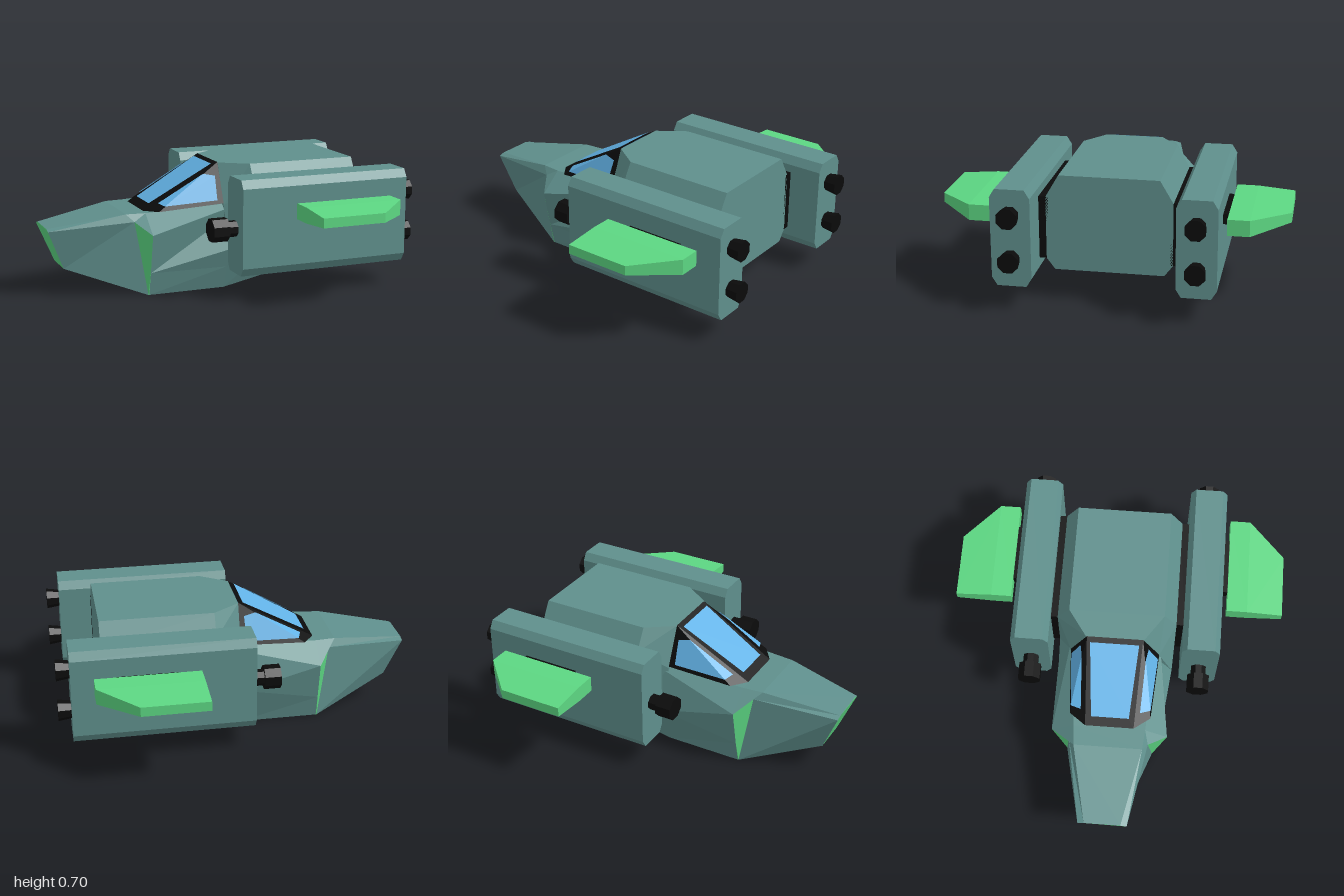
import * as THREE from 'three';
import { ConvexGeometry } from 'three/addons/geometries/ConvexGeometry.js';

const paint = (name, color, extra = {}) => new THREE.MeshStandardMaterial({ name, color, ...extra });

const flip = ([x, y, z]) => [x, y, -z];

// Flat-shaded geometry from convex polygons, each fanned from its first corner
function fromPolygons(polygons) {
  const pos = [];
  for (const p of polygons)
    for (let i = 1; i < p.length - 1; i++) pos.push(...p[0], ...p[i], ...p[i + 1]);
  const g = new THREE.BufferGeometry();
  g.setAttribute('position', new THREE.Float32BufferAttribute(pos, 3));
  g.computeVertexNormals();
  return g;
}

// Polygons of one side panel and its mirror image
const both = (p) => [p, p.map(flip).reverse()];
const ring = (row) => [...row, ...row.map(flip).reverse()];

// Skin between half sections (listed top to bottom on the +z side, running towards +x)
function skin(rows, isAccent = () => false) {
  const main = [], accent = [];
  for (let r = 0; r < rows.length - 1; r++) {
    const a = rows[r], b = rows[r + 1], n = a.length - 1;
    for (let i = 0; i < n; i++)
      (isAccent(r, i) ? accent : main).push(...both([a[i + 1], b[i + 1], b[i], a[i]]));
    main.push([a[0], b[0], flip(b[0]), flip(a[0])], [flip(a[n]), flip(b[n]), b[n], a[n]]);
  }
  return { main, accent, front: ring(rows[0]).reverse(), back: ring(rows[rows.length - 1]) };
}

export function createModel() {
  const teal = paint('hull teal', 0x5f8f8c, { flatShading: true });
  const green = paint('accent green', 0x5cd682, { flatShading: true });
  const black = paint('black trim', 0x0b0b0b, { flatShading: true });
  const blue = paint('glass blue', 0x62b2e6, { side: THREE.DoubleSide, flatShading: true });

  const model = new THREE.Group();
  model.name = 'spacecraft';
  const add = (name, geo, mat, parent = model) => {
    const m = new THREE.Mesh(geo, mat);
    m.name = name;
    parent.add(m);
    return m;
  };

  // Nose and cheeks: deck edge, shoulder, side, chine, keel
  const noseKeel = [-0.91, 0.155, 0.1], cheekKeel = [-0.475, 0, 0.25];
  const nose = skin([
    [[-1, 0.385, 0.1], [-1, 0.375, 0.135], noseKeel, noseKeel, noseKeel],
    [[-0.58, 0.45, 0.19], [-0.54, 0.41, 0.22], cheekKeel, cheekKeel, cheekKeel],
    [[-0.47, 0.45, 0.2], [-0.47, 0.35, 0.325], [-0.47, 0.13, 0.28], [-0.47, 0.13, 0.28], [-0.47, 0, 0.25]],
    [[0.12, 0.48, 0.235], [0.12, 0.48, 0.24], [-0.03, 0.235, 0.33], [-0.03, 0.13, 0.295], [-0.03, 0, 0.25]],
  ], (r, i) => r === 1 && i >= 1);
  add('nose', fromPolygons(nose.main), teal);
  add('noseAccents', fromPolygons([...nose.accent, nose.front]), green);

  // Main body behind the canopy
  const body = skin([
    [[-0.03, 0.695, 0.16], [-0.03, 0.47, 0.25], [-0.03, 0.235, 0.33], [-0.03, 0.13, 0.295], [-0.03, 0, 0.25]],
    [[0.12, 0.695, 0.265], [0.12, 0.575, 0.335], [0.12, 0.235, 0.335], [0.12, 0.14, 0.3], [0.12, 0.033, 0.256]],
    [[0.75, 0.695, 0.265], [0.75, 0.575, 0.335], [0.75, 0.235, 0.335], [0.75, 0.175, 0.29], [0.75, 0.175, 0.29]],
  ]);
  add('body', fromPolygons([...body.main, body.front, body.back]), teal);

  // Canopy frame
  const A = [-0.465, 0.45, 0.135], B = [-0.4, 0.455, 0.225], C = [-0.03, 0.48, 0.25], D = [-0.03, 0.697, 0.155];
  add('canopyFrame', fromPolygons([
    ...both([A, B, D]), ...both([B, C, D]), [A, D, flip(D), flip(A)],
  ]), black);

  // Canopy glass, just proud of the frame; weights place each corner on a frame facet
  const mix = (a, b, c, d) => [0, 1, 2].map((k) =>
    A[k] * a + B[k] * b + C[k] * c + D[k] * d + [-0.3, 0.6, 0.7][k] * 0.006);
  const g1 = mix(0.6, 0.25, 0, 0.15), g2 = mix(0, 0.9, 0, 0.1), g3 = mix(0, 0.09, 0.83, 0.08);
  const gTop = mix(0, 0.07, 0.26, 0.67), g4 = mix(0, 0.25, 0, 0.75);
  add('sideWindows', fromPolygons([...both([g1, g2, g4]), ...both([g2, g3, gTop, g4])]), blue);
  const screen = (x, z) => [x, 0.457 + (x + 0.465) * 0.568, z];
  add('windscreen', fromPolygons([
    [screen(-0.42, 0.105), screen(-0.06, 0.135), screen(-0.06, -0.135), screen(-0.42, -0.105)],
  ]), blue);

  // Chamfered nacelle section, extruded lengthwise
  const w = 0.105, h = 0.2625, cw = 0.028, ch = 0.045;
  const section = new THREE.Shape([
    [w, -h + ch], [w, h - ch], [w - cw, h], [-w + cw, h],
    [-w, h - ch], [-w, -h + ch], [-w + cw, -h], [w - cw, -h],
  ].map((p) => new THREE.Vector2(...p)));
  const nacelleGeo = new THREE.ExtrudeGeometry(section, { depth: 0.985, bevelEnabled: false }).rotateY(Math.PI / 2);

  // Octagonal barrel along x from x0 to x1
  const barrel = (x0, x1, r0, r1) => new THREE.CylinderGeometry(r1, r0, x1 - x0, 8)
    .rotateY(Math.PI / 8).rotateZ(-Math.PI / 2).translate((x0 + x1) / 2, 0, 0);

  for (const s of [1, -1]) {
    const pod = new THREE.Group();
    pod.name = s > 0 ? 'frontPod' : 'backPod';
    model.add(pod);
    const zc = 0.478 * s;
    add('nacelle', nacelleGeo, teal, pod).position.set(-0.055, 0.4025, zc);
    add('nacelleMount', new THREE.BoxGeometry(0.63, 0.34, 0.06), black, pod).position.set(0.435, 0.405, 0.352 * s);
    add('finMount', new THREE.BoxGeometry(0.325, 0.055, 0.06), black, pod).position.set(0.5275, 0.488, 0.598 * s);

    // Exhausts and forward gun
    for (const y of [0.53, 0.293])
      add('exhaust', barrel(0.92, 1, 0.046, 0.058), black, pod).position.set(0, y, zc);
    add('gunBarrel', barrel(-0.12, -0.05, 0.045, 0.045), black, pod).position.set(0, 0.39, zc);
    add('gunMuzzle', barrel(-0.2, -0.11, 0.066, 0.066), black, pod).position.set(0, 0.39, zc);

    // Fin, thinning towards its clipped tip
    const pts = [];
    for (const [x, z, t] of [[0.245, 0.615, 0.043], [0.81, 0.615, 0.043], [0.245, 0.73, 0.043],
      [0.81, 0.73, 0.043], [0.245, 0.93, 0.026], [0.605, 0.93, 0.026]])
      for (const e of [t, -t]) pts.push(new THREE.Vector3(x, 0.487 + e, z * s));
    add('fin', new ConvexGeometry(pts), green, pod);
  }
  return model;
}
